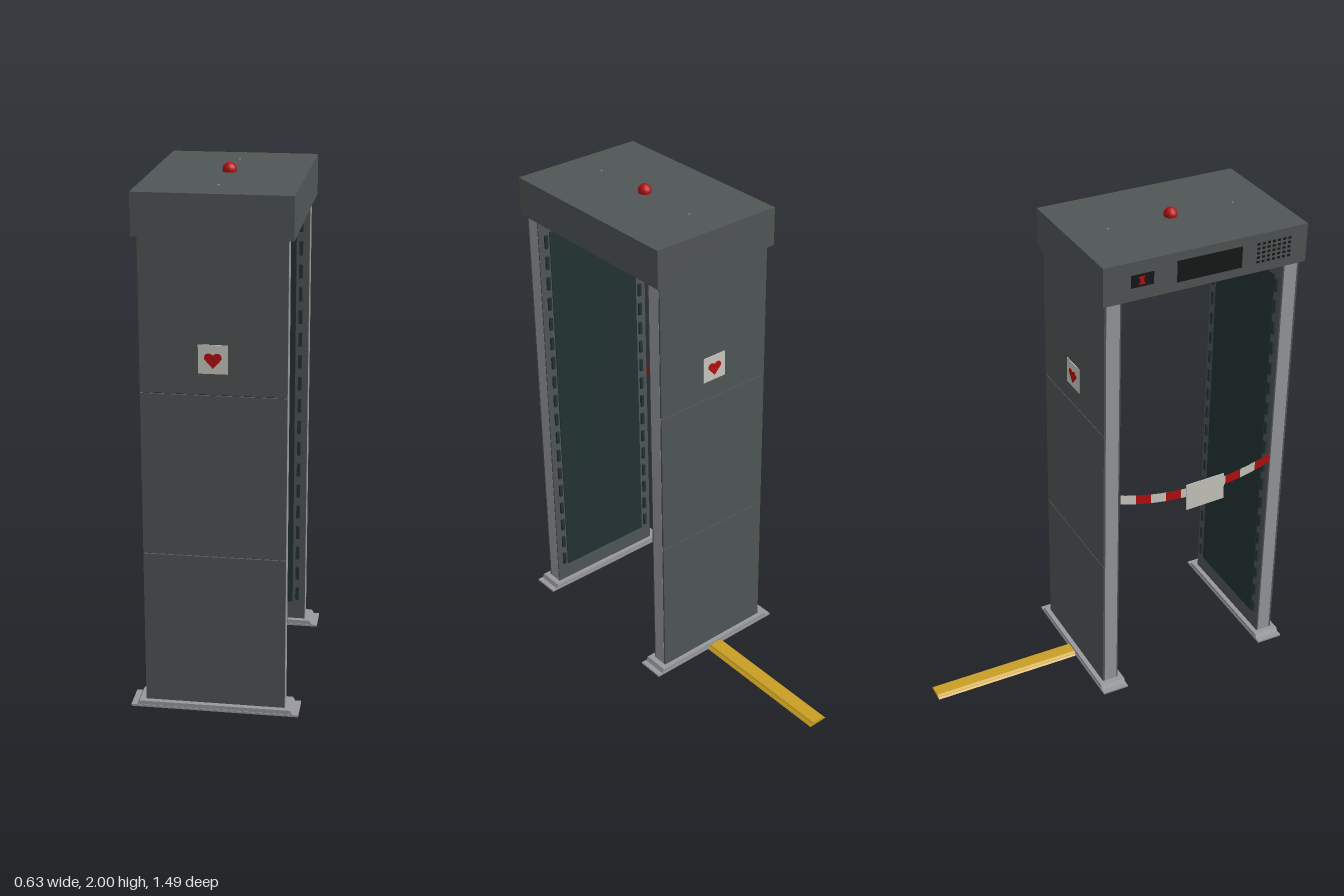
import * as THREE from 'three';

const mat = (name, color) => Object.assign(new THREE.MeshStandardMaterial({ color }), { name });
const body = mat('dark grey metal', 0x505556);
const steel = mat('light grey aluminium', 0x97989d);
const glass = mat('dark teal panel', 0x233233);
const black = mat('black plastic', 0x161818);
const red = mat('red', 0xb31010);
const white = mat('off white', 0xc9c8c0);
const yellow = mat('yellow', 0xc99e22);
const redTape = mat('red tape', 0xb31010);
const whiteTape = mat('white tape', 0xc9c8c0);
redTape.side = whiteTape.side = THREE.DoubleSide;

function add(parent, name, geometry, material, x = 0, y = 0, z = 0) {
  const m = new THREE.Mesh(geometry, material);
  m.name = name;
  m.position.set(x, y, z);
  parent.add(m);
  return m;
}
const box = (parent, name, material, w, h, d, x, y, z) =>
  add(parent, name, new THREE.BoxGeometry(w, h, d), material, x, y, z);

// trapezoid bar running along z, centred
function trapezoid(bottom, top, height, length) {
  const s = new THREE.Shape([[-bottom, 0], [bottom, 0], [top, height], [-top, height]]
    .map(p => new THREE.Vector2(...p)));
  return new THREE.ExtrudeGeometry(s, { depth: length, bevelEnabled: false }).translate(0, 0, -length / 2);
}

function heartGeometry() {
  const s = new THREE.Shape();
  s.moveTo(0, -0.031);
  s.lineTo(0.03, 0.002);
  s.bezierCurveTo(0.036, 0.018, 0.018, 0.034, 0, 0.017);
  s.bezierCurveTo(-0.018, 0.034, -0.036, 0.018, -0.03, 0.002);
  s.closePath();
  return new THREE.ExtrudeGeometry(s, { depth: 0.002, bevelEnabled: false, curveSegments: 6 });
}

// One upright; its outer face looks along local +z
function makeLeg(name) {
  const leg = new THREE.Group();
  leg.name = name;
  box(leg, 'core', body, 0.51, 1.79, 0.054, 0, 0.915, -0.005);
  box(leg, 'seamBacking', black, 0.512, 1.78, 0.004, 0, 0.915, 0.024);
  // three outer cladding panels with seams between
  [[0.024, 0.623], [0.627, 1.243], [1.247, 1.812]].forEach(([a, b]) =>
    box(leg, 'outerPanel', body, 0.526, b - a, 0.008, 0, (a + b) / 2, 0.0305));
  box(leg, 'innerPanel', body, 0.526, 1.788, 0.006, 0, 0.918, -0.0315);
  box(leg, 'innerScreen', glass, 0.425, 1.64, 0.004, 0, 0.92, -0.0365);
  for (const s of [-1, 1]) {
    box(leg, 'sideStrip', steel, 0.01, 1.788, 0.055, s * 0.2585, 0.918, -0.001);
    // row of indicator bars beside the screen
    for (let i = 0; i < 18; i++)
      box(leg, 'indicatorBar', glass, 0.014, 0.055, 0.01, s * 0.231, 0.14 + i * 0.092, -0.0385);
  }
  // stepped foot
  box(leg, 'footPlate', steel, 0.634, 0.008, 0.112, 0, 0.004, 0);
  add(leg, 'footStep', trapezoid(0.295, 0.286, 0.016, 0.108), steel, 0, 0.008, 0);
  // heart warning sticker
  box(leg, 'sticker', white, 0.106, 0.106, 0.003, 0, 1.378, 0.036);
  add(leg, 'heart', heartGeometry(), red, 0, 1.376, 0.0375);
  return leg;
}

// Hanging tape point at t = 0 (front leg) to 1 (back leg)
const tapePoint = t => [0.655 - t * 0.677, 0.88 + 0.056 * (2 * t - 1) ** 2];

function tapeSegment(t0, t1) {
  const g = new THREE.PlaneGeometry(1, 0.042, 3, 1);
  const p = g.attributes.position;
  for (let i = 0; i < p.count; i++) {
    const t = t0 + (p.getX(i) + 0.5) * (t1 - t0);
    const [z, y] = tapePoint(t);
    p.setXYZ(i, 0, y + p.getY(i), z);
  }
  g.computeVertexNormals();
  return g;
}

export function createModel() {
  const model = new THREE.Group();
  model.name = 'walkThroughDetector';

  const front = makeLeg('frontLeg');
  front.position.z = 0.691;
  const back = makeLeg('backLeg');
  back.position.z = -0.059;
  back.rotation.y = Math.PI;
  model.add(front, back);

  // Header
  const header = new THREE.Group();
  header.name = 'header';
  model.add(header);
  box(header, 'headerBox', body, 0.566, 0.155, 0.848, 0, 1.8875, 0.315);
  for (const z of [0.05, 0.58])
    add(header, 'screw', new THREE.CylinderGeometry(0.004, 0.004, 0.004, 8), steel, 0, 1.966, z);
  add(header, 'beacon', new THREE.SphereGeometry(0.027, 16, 6), red, 0, 1.973, 0.312);

  // Control face: display, switch, buttons, speaker holes
  const fx = -0.284;
  box(header, 'display', black, 0.004, 0.085, 0.27, fx, 1.888, 0.325);
  box(header, 'switchPlate', black, 0.004, 0.05, 0.092, fx, 1.888, 0.048);
  box(header, 'switchLight', red, 0.006, 0.032, 0.026, fx, 1.888, 0.045);
  for (const z of [0.022, 0.068]) {
    const b = add(header, 'button', new THREE.CylinderGeometry(0.015, 0.015, 0.012, 12), black, fx, 1.889, z);
    b.rotation.z = Math.PI / 2;
  }
  for (let r = 0; r < 5; r++)
    for (let c = 0; c < 7; c++)
      box(header, 'speakerHole', black, 0.002, 0.009, 0.012, fx, 1.852 + r * 0.018, 0.53 + c * 0.022);

  // Striped barrier tape with hanging card
  const tape = new THREE.Group();
  tape.name = 'barrierTape';
  model.add(tape);
  for (let i = 0; i < 10; i++)
    add(tape, 'tapeStripe', tapeSegment(i / 10, (i + 1) / 10), i % 2 ? whiteTape : redTape, -0.267);
  const card = box(tape, 'card', white, 0.003, 0.122, 0.172, -0.27, 0.862, 0.357);
  card.rotation.x = -0.04;

  // Floor cable cover with raised centre
  add(model, 'cableCover', trapezoid(0.042, 0.035, 0.006, 0.64), yellow, 0, 0, -0.426);
  add(model, 'cableCoverRidge', trapezoid(0.032, 0.025, 0.008, 0.64), yellow, 0, 0.006, -0.426);
  return model;
}
